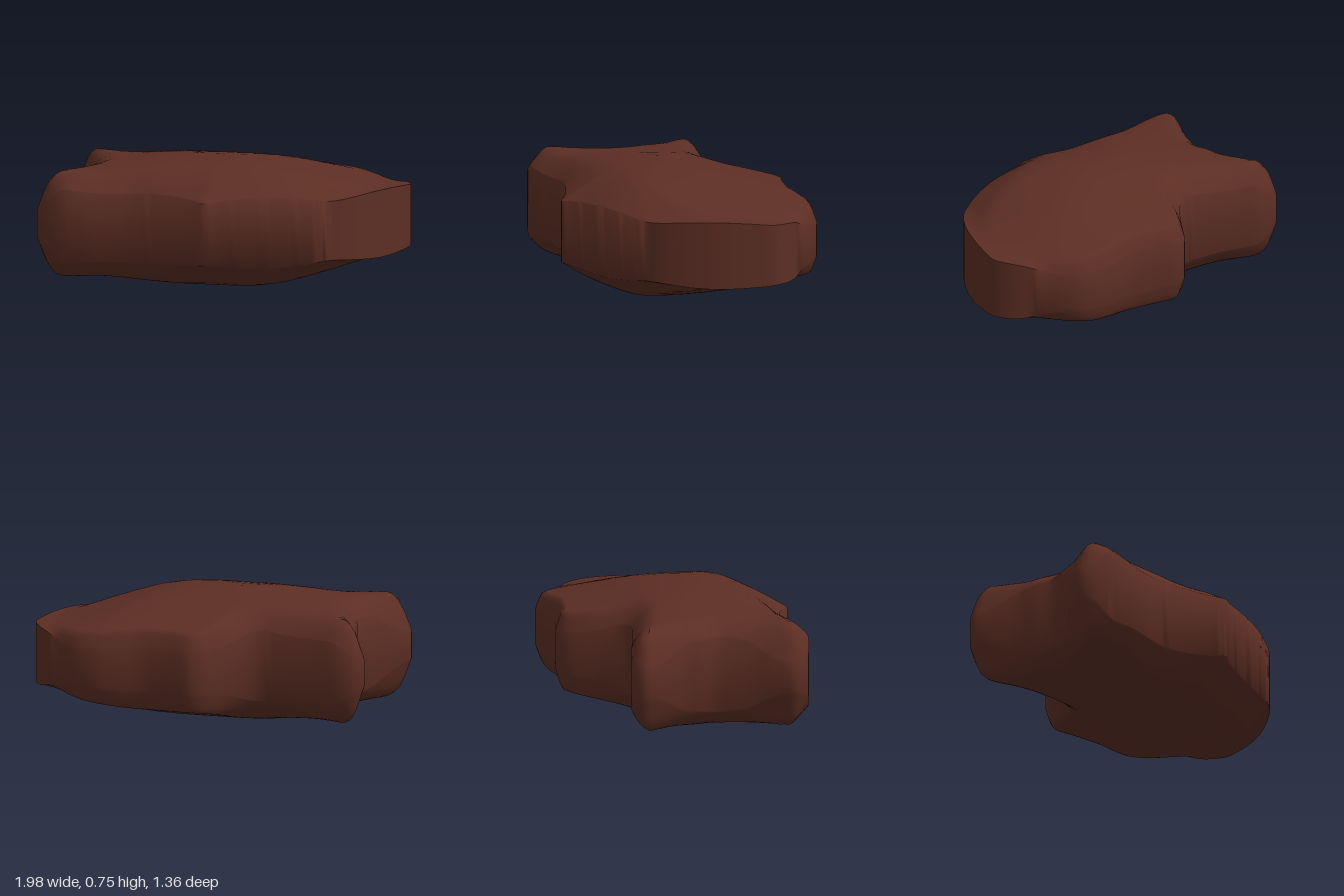
import * as THREE from 'three';
import { toCreasedNormals } from 'three/addons/utils/BufferGeometryUtils.js';

const { lerp, smoothstep, clamp } = THREE.MathUtils;
const MID = 0.375;      // height of the symmetry plane
const COLUMNS = 180;

// Fish-shaped plan, as x, z pairs from the nose round the belly and tail
const PLAN = [
  [0.985, -0.31], [0.97, -0.2], [0.93, -0.05], [0.88, 0.08], [0.8, 0.22], [0.72, 0.32], [0.6, 0.41],
  [0.4, 0.51], [0.2, 0.59], [0.08, 0.64], [0.02, 0.675], [-0.03, 0.645], [-0.12, 0.605], [-0.25, 0.57],
  [-0.4, 0.555], [-0.55, 0.58], [-0.7, 0.61], [-0.85, 0.615], [-0.96, 0.58], [-1, 0.51], [-0.96, 0.42],
  [-0.87, 0.28], [-0.82, 0.15], [-0.81, 0.08], [-0.84, 0], [-0.86, -0.1], [-0.92, -0.2], [-0.98, -0.31],
  [-0.99, -0.36], [-0.95, -0.41], [-0.88, -0.42], [-0.7, -0.38], [-0.5, -0.34], [-0.38, -0.325],
  [-0.32, -0.35], [-0.26, -0.42], [-0.18, -0.56], [-0.12, -0.65], [-0.05, -0.685], [0.1, -0.66],
  [0.25, -0.645], [0.4, -0.67], [0.52, -0.685], [0.64, -0.665], [0.71, -0.62], [0.8, -0.535],
  [0.91, -0.44], [0.96, -0.37],
];

// Half thickness along the length and across the width
const alongX = new THREE.CubicInterpolant(
  [-1, -0.7, -0.5, -0.2, 0, 0.2, 0.4, 0.6, 0.8, 1],
  [0.3, 0.315, 0.335, 0.37, 0.375, 0.36, 0.325, 0.27, 0.215, 0.185], 1);
const acrossZ = new THREE.CubicInterpolant(
  [-0.69, -0.6, -0.4, -0.2, 0, 0.1, 0.3, 0.5, 0.69],
  [0.225, 0.238, 0.285, 0.335, 0.367, 0.373, 0.35, 0.305, 0.25], 1);

function halfThickness(x, z) {
  const dome = MID - Math.hypot(MID - alongX.evaluate(x)[0], MID - acrossZ.evaluate(z)[0]);
  return lerp(0.308, dome, smoothstep(x, -0.9, -0.45));
}

// Distance from a point to the closed outline
function edgeDistance(x, z, outline) {
  let best = Infinity;
  for (let i = 0; i < outline.length; i++) {
    const a = outline[i], b = outline[(i + 1) % outline.length];
    const ex = b.x - a.x, ez = b.z - a.z;
    const t = clamp(((x - a.x) * ex + (z - a.z) * ez) / (ex * ex + ez * ez), 0, 1);
    best = Math.min(best, Math.hypot(x - a.x - ex * t, z - a.z - ez * t));
  }
  return best;
}

// Rounded tail tips, a wide shoulder along the belly, a bulging back wall, an upright nose
function surfaceHeight(x, z, outline) {
  const back = smoothstep(-z, 0.25, 0.58);
  const belly = smoothstep(z, 0, 0.35) * smoothstep(x, -0.45, 0);
  const flank = lerp(0.25, lerp(0.7, 0.5, back), smoothstep(x, -1, -0.8));
  const wall = lerp(flank, 1, smoothstep(x, 0.65, 0.95));
  const rim = lerp(lerp(0.14, 0.05, back), 0.28, belly);
  const u = Math.min(1, edgeDistance(x, z, outline) / rim);
  return halfThickness(x, z) * lerp(wall, 1, Math.sin(u * Math.PI / 2));
}

function bodyGeometry() {
  const curve = new THREE.CatmullRomCurve3(PLAN.map(([x, z]) => new THREE.Vector3(x, 0, z)), true);
  const outline = curve.getSpacedPoints(COLUMNS).slice(0, COLUMNS);
  const scales = [0, 0.15, 0.3, 0.42, 0.54, 0.64, 0.72, 0.79, 0.84, 0.88, 0.91, 0.935, 0.955, 0.972, 0.988, 1];

  // Rings run from the top centre out to the rim, then back to the bottom centre
  const upper = scales.map((s) => outline.map((p) => {
    const x = p.x * s, z = p.z * s;
    return [x, surfaceHeight(x, z, outline), z];
  }));
  const lower = upper.map((ring) => ring.map(([x, y, z]) => [x, -y, z])).reverse();
  const rings = [...upper, ...lower];

  const index = [];
  const last = rings.length - 2;
  for (let j = 0; j <= last; j++) {
    for (let i = 0; i < COLUMNS; i++) {
      const k = (i + 1) % COLUMNS;
      const a = j * COLUMNS + i, b = j * COLUMNS + k;
      const c = a + COLUMNS, d = b + COLUMNS;
      if (j > 0) index.push(a, b, c);
      if (j < last) index.push(b, d, c);
    }
  }
  const geometry = new THREE.BufferGeometry();
  geometry.setAttribute('position', new THREE.Float32BufferAttribute(rings.flat(2), 3));
  geometry.setIndex(index);
  return toCreasedNormals(geometry, 1.05);
}

export function createModel() {
  const group = new THREE.Group();
  group.name = 'fishShapedBlock';
  const chocolate = new THREE.MeshStandardMaterial({ color: 0x5c2e24 });
  chocolate.name = 'chocolate brown';

  // Domed body with forked tail
  const body = new THREE.Mesh(bodyGeometry(), chocolate);
  body.name = 'body';
  body.position.y = MID;
  group.add(body);
  return group;
}
